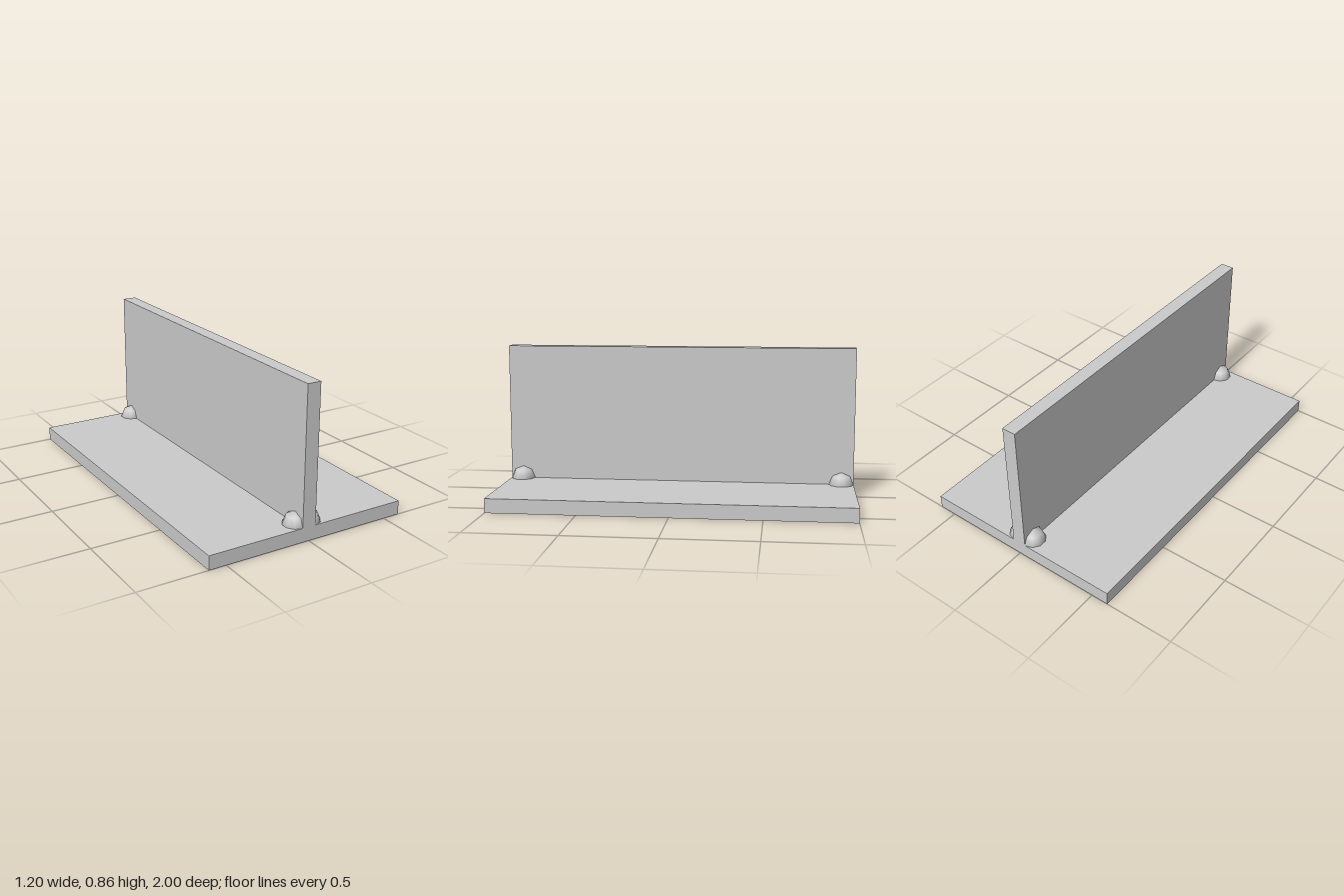
import * as THREE from 'three';

const LENGTH = 2, HALF_WIDTH = 0.6, HEIGHT = 0.86;
const HALF_WEB = 0.04, FLANGE = 0.08, TACK = 0.07;

export function createModel() {
  const model = new THREE.Group();
  model.name = 'weldedTeeJoint';
  const material = new THREE.MeshStandardMaterial({ color: 0xcccccc });

  // Base plate and upright plate as one T-shaped section
  const right = [[HALF_WIDTH, 0], [HALF_WIDTH, FLANGE], [HALF_WEB, FLANGE], [HALF_WEB, HEIGHT]];
  const left = right.map(([x, y]) => [-x, y]).reverse();
  const section = new THREE.Shape([...right, ...left].map(([x, y]) => new THREE.Vector2(x, y)));
  const teeGeometry = new THREE.ExtrudeGeometry(section, { depth: LENGTH, bevelEnabled: false });
  teeGeometry.translate(0, 0, -LENGTH / 2);
  const tee = new THREE.Mesh(teeGeometry, material);
  tee.name = 'teePlates';
  model.add(tee);

  // Tack weld beads in the inner corners at both ends
  const beadGeometry = new THREE.SphereGeometry(TACK, 10, 4);
  beadGeometry.rotateY(Math.PI / 10);
  for (const sx of [-1, 1]) {
    for (const sz of [-1, 1]) {
      const bead = new THREE.Mesh(beadGeometry, material);
      bead.name = `${sz > 0 ? 'front' : 'back'}${sx > 0 ? 'Left' : 'Right'}TackWeld`;
      bead.position.set(sx * HALF_WEB, FLANGE, sz * (LENGTH / 2 - TACK));
      model.add(bead);
    }
  }
  return model;
}
